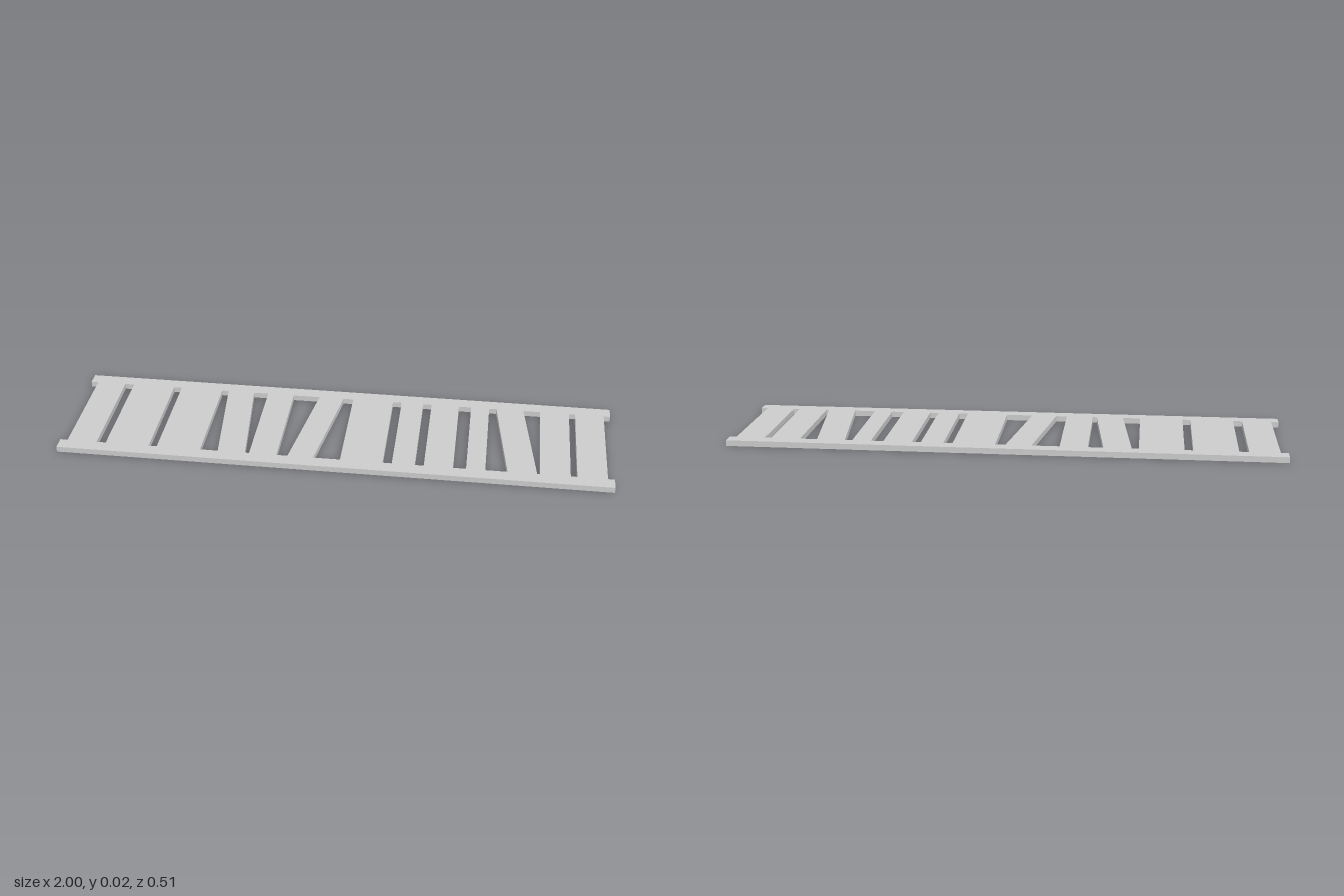
import * as THREE from 'three';

const HEIGHT = 0.021, OUTER = 0.253, INNER = 0.203;

export function createModel() {
  const group = new THREE.Group();
  group.name = 'slattedPanel';
  const material = new THREE.MeshStandardMaterial({ color: 0xcccccc, flatShading: true });

  // Two long rails, front and back
  for (const side of [1, -1]) {
    const rail = new THREE.Mesh(new THREE.BoxGeometry(2, HEIGHT, OUTER - INNER), material);
    rail.name = side > 0 ? 'frontRail' : 'backRail';
    rail.position.set(0, HEIGHT / 2, side * (OUTER + INNER) / 2);
    group.add(rail);
  }

  // Cross slats: [left x, right x, left x at the front, right x at the front]; the last two only if slanted
  const slats = [
    [-0.973, -0.864], [-0.83, -0.67], [-0.64, -0.48],
    [-0.455, -0.355, -0.415, -0.315],
    [-0.30, -0.20],
    [-0.10, -0.007, -0.16, -0.067],
    [0.03, 0.183], [0.216, 0.298], [0.33, 0.434], [0.48, 0.548],
    [0.575, 0.677, 0.626, 0.73],
    [0.74, 0.847], [0.87, 0.976],
  ];
  slats.forEach(([b0, b1, f0 = b0, f1 = b1], i) => {
    const outline = new THREE.Shape([
      new THREE.Vector2(f0, -INNER), new THREE.Vector2(f1, -INNER),
      new THREE.Vector2(b1, INNER), new THREE.Vector2(b0, INNER),
    ]);
    const geometry = new THREE.ExtrudeGeometry(outline, { depth: HEIGHT, bevelEnabled: false });
    geometry.rotateX(-Math.PI / 2);
    const slat = new THREE.Mesh(geometry, material);
    slat.name = `slat${i + 1}`;
    group.add(slat);
  });
  return group;
}
